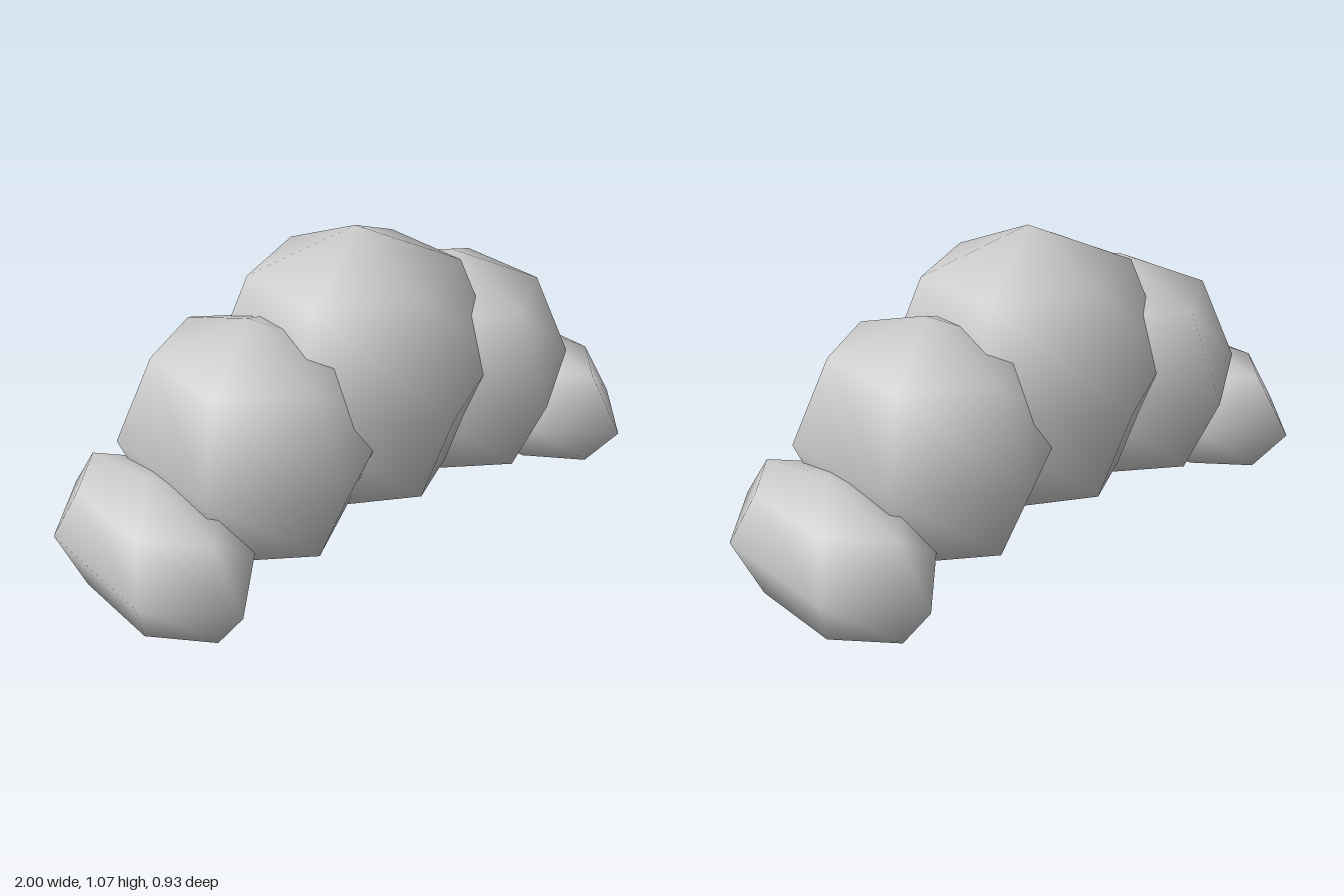
import * as THREE from 'three';

// Cloud made of five overlapping low-poly puffs, mirrored about x = 0
export function createModel() {
  const group = new THREE.Group();
  group.name = 'cloud';

  const cloudGrey = new THREE.MeshStandardMaterial({ color: 0xcccccc });
  cloudGrey.name = 'cloudGrey';

  // six-sided smooth ball, turned so a corner faces front and back
  function addPuff(name, x, y, width, height) {
    const geometry = new THREE.SphereGeometry(1, 6, 4);
    geometry.rotateY(Math.PI / 2);
    geometry.scale(width, height, 0.463);
    const puff = new THREE.Mesh(geometry, cloudGrey);
    puff.name = name;
    puff.position.set(x, y, 0);
    group.add(puff);
  }

  addPuff('centrePuff', 0, 0.587, 0.482, 0.481);
  for (const [side, s] of [['left', 1], ['right', -1]]) {
    addPuff(side + 'MiddlePuff', s * 0.412, 0.484, 0.397, 0.395);
    addPuff(side + 'EndPuff', s * 0.791, 0.241, 0.241, 0.241);
  }

  return group;
}
